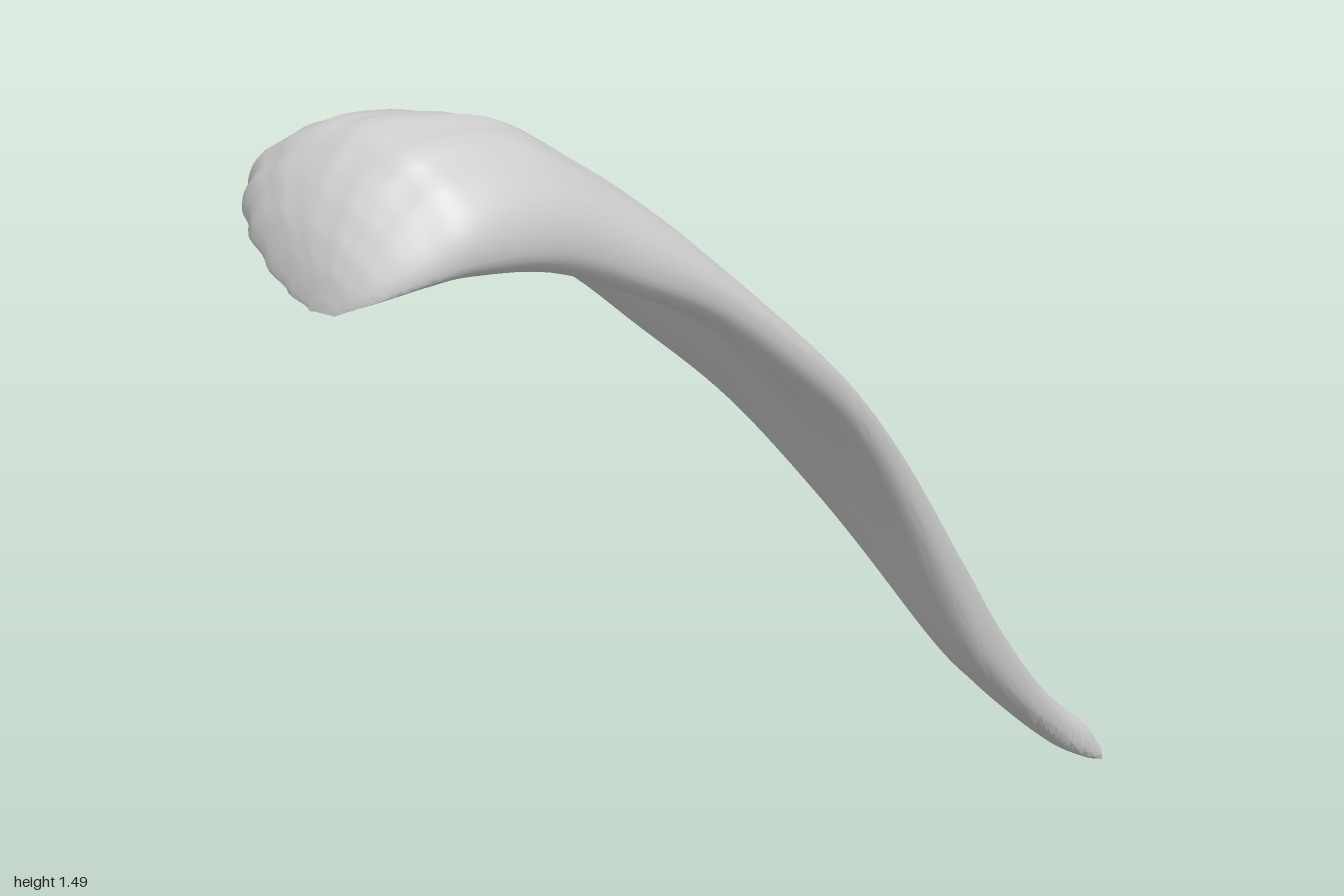
import * as THREE from 'three';
import { toCreasedNormals } from 'three/addons/utils/BufferGeometryUtils.js';

// Stations along the length:
// x, back edge z & y, front edge z & y, crest y, hollow (share of the upper bulge), lip depth
const STATIONS = [
  [-1.0, -0.08, 1.168, -0.02, 1.165, 1.183, 0.8, 0.003],
  [-0.985, -0.16, 1.21, 0.02, 1.182, 1.255, 0.9, 0.008],
  [-0.95, -0.25, 1.28, 0.07, 1.205, 1.345, 1.0, 0.025],
  [-0.89, -0.305, 1.335, 0.125, 1.24, 1.43, 1.15, 0.06],
  [-0.8, -0.31, 1.355, 0.18, 1.275, 1.488, 1.25, 0.1],
  [-0.6, -0.25, 1.3, 0.23, 1.265, 1.475, 1.3, 0.115],
  [-0.4, -0.2, 1.245, 0.265, 1.185, 1.38, 1.25, 0.105],
  [-0.2, -0.14, 1.165, 0.29, 1.095, 1.245, 1.2, 0.1],
  [0.0, -0.09, 1.02, 0.312, 0.965, 1.08, 0.9, 0.1],
  [0.2, -0.02, 0.85, 0.312, 0.82, 0.91, 0.35, 0.095],
  [0.4, 0.06, 0.63, 0.293, 0.62, 0.72, 0, 0.1],
  [0.6, 0.13, 0.4, 0.285, 0.37, 0.475, 0, 0.115],
  [0.7, 0.158, 0.29, 0.28, 0.26, 0.34, 0, 0.095],
  [0.8, 0.165, 0.205, 0.275, 0.165, 0.235, 0, 0.075],
  [0.87, 0.183, 0.145, 0.272, 0.11, 0.165, 0, 0.065],
  [0.92, 0.205, 0.1, 0.272, 0.073, 0.12, 0, 0.055],
  [0.97, 0.25, 0.05, 0.28, 0.035, 0.072, 0, 0.035],
  [1.0, 0.28, 0.01, 0.285, 0.008, 0.022, 0, 0.008],
];

const ROWS = 136; // sections along the length
const HALF = 30; // steps across each face

const column = (pick) => new THREE.CatmullRomCurve3(
  STATIONS.map((s) => new THREE.Vector3(...pick(s))), false, 'catmullrom', 0.5);

function bladeGeometry() {
  const back = column((s) => [s[0], s[2], s[1]]);
  const front = column((s) => [s[0], s[4], s[3]]);
  const shape = column((s) => [s[5], s[6], s[7]]); // crest, hollow, lip
  const arc = (u, power) => Math.pow(Math.max(0, Math.sin(Math.PI * u)), power);
  const pos = [], index = [], ring = HALF * 2;

  for (let i = 0; i <= ROWS; i++) {
    const t = i / ROWS;
    const b = back.getPoint(t), f = front.getPoint(t);
    const { x: crest, y: hollow, z: lip } = shape.getPoint(t);
    // frayed rim at the broad end
    const fray = THREE.MathUtils.smoothstep(-b.x, 0.4, 0.8);
    b.z += 0.005 * fray * Math.sin(i * 1.1);

    // largest bulge that keeps the section under the crest line
    let h = Infinity;
    for (let j = 1; j < HALF; j++) {
      const u = j / HALF;
      h = Math.min(h, (crest - THREE.MathUtils.lerp(b.y, f.y, u)) / arc(u, 0.5));
    }
    h = Math.max(h, 0.002);

    for (let j = 0; j < ring; j++) {
      const upper = j <= HALF;
      // steps crowd towards the rounded edges
      const v = upper ? j / HALF : 2 - j / HALF;
      const u = 0.5 - 0.5 * Math.cos(Math.PI * v);
      // shallow lengthwise furrows
      const furrow = 1 + 0.035 * Math.sin(u * 38 + 3 * Math.sin(t * 7)) * Math.sin(t * 19 + u * 9);
      const p = b.clone().lerp(f, u);
      p.y += upper
        ? h * arc(u, 0.5) * furrow
        : h * hollow * arc(u, 3) - lip * (0.85 + 0.15 * u) * arc(u, 0.35);
      pos.push(p.x, p.y, p.z);
    }
  }

  for (let i = 0; i < ROWS; i++) {
    for (let j = 0; j < ring; j++) {
      const k = (j + 1) % ring;
      const a = i * ring + j, d = i * ring + k;
      index.push(a, d, d + ring, a, d + ring, a + ring);
    }
  }
  // close both ends
  const last = ROWS * ring;
  for (let j = 1; j < ring - 1; j++) {
    index.push(0, j + 1, j, last, last + j, last + j + 1);
  }

  const g = new THREE.BufferGeometry();
  g.setAttribute('position', new THREE.Float32BufferAttribute(pos, 3));
  g.setIndex(index);
  return toCreasedNormals(g, 0.7);
}

export function createModel() {
  const group = new THREE.Group();
  group.name = 'curvedBlade';
  const blade = new THREE.Mesh(
    bladeGeometry(),
    new THREE.MeshStandardMaterial({ color: 0xcccccc, side: THREE.DoubleSide }));
  blade.name = 'hollowedBlade';
  group.add(blade);
  return group;
}
